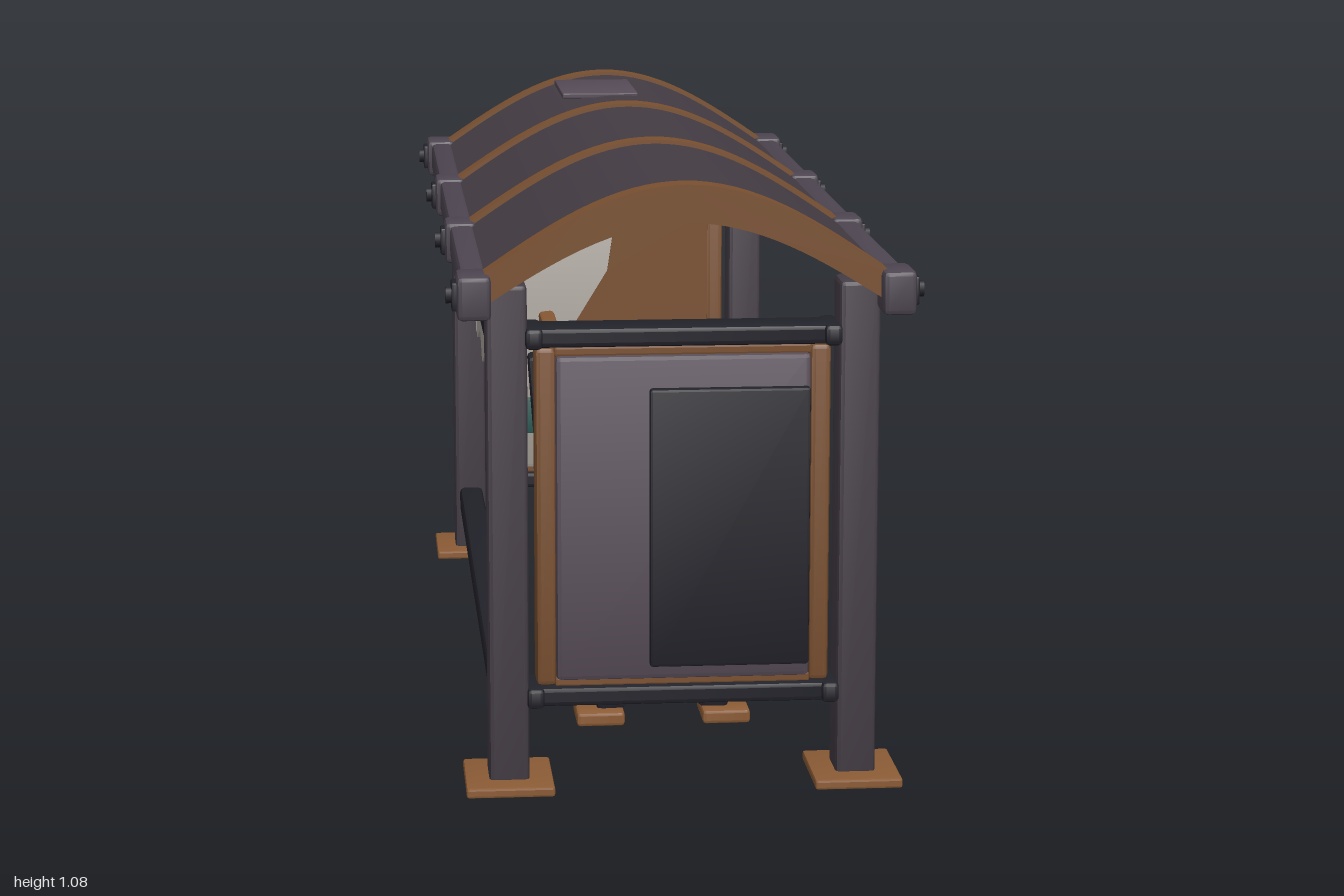
import * as THREE from 'three';
import { RoundedBoxGeometry } from 'three/addons/geometries/RoundedBoxGeometry.js';
import { toCreasedNormals } from 'three/addons/utils/BufferGeometryUtils.js';

const mat = (color, extra = {}) => new THREE.MeshStandardMaterial({ color, ...extra });
const M = {
  post: mat(0x453d46), beam: mat(0x4d4550), slate: mat(0x574c58), roof: mat(0x443c44),
  dark: mat(0x22222a), brown: mat(0x7a5030), wood: mat(0x8c5c36), paper: mat(0xaaa49c),
  yellow: mat(0xb08a2c), teal: mat(0x2a5a54),
  glass: mat(0xb4ada6, { side: THREE.DoubleSide }),
};

export function createModel() {
  const root = new THREE.Group();

  const add = (name, geo, material, x = 0, y = 0, z = 0, parent = root) => {
    const m = new THREE.Mesh(geo, material);
    m.name = name;
    m.position.set(x, y, z);
    parent.add(m);
    return m;
  };
  // Box with a small chamfer
  const box = (name, material, w, h, d, x, y, z, parent = root) => {
    const r = Math.min(0.009, Math.min(w, h, d) * 0.25);
    const geo = toCreasedNormals(new RoundedBoxGeometry(w, h, d, 1, r), 0.4);
    return add(name, geo, material, x, y, z, parent);
  };
  // Box spanning two points in the xy plane
  const strut = (name, material, a, b, w, d, z, parent) => {
    const dx = b[0] - a[0], dy = b[1] - a[1];
    const m = box(name, material, w, Math.hypot(dx, dy), d, (a[0] + b[0]) / 2, (a[1] + b[1]) / 2, z, parent);
    m.rotation.z = -Math.atan2(dx, dy);
    return m;
  };

  // Corner posts on base plates
  for (const sx of [-1, 1]) for (const sz of [-1, 1]) {
    box('cornerPost', M.post, 0.071, 0.89, 0.087, sx * 0.307, 0.455, sz * 0.885);
    box('basePlate', M.wood, 0.155, 0.018, 0.187, sx * 0.307, 0.009, sz * 0.885);
  }

  // Roof beams with bolted brackets
  const boltGeo = new THREE.CylinderGeometry(0.014, 0.014, 0.012, 8).rotateZ(Math.PI / 2);
  for (const sx of [-1, 1]) {
    box('roofBeam', M.beam, 0.046, 0.062, 1.97, sx * 0.362, 0.889, 0);
    for (const z of [-0.95, -0.31, 0.315, 0.95]) {
      const end = Math.abs(z) > 0.9;
      box('beamBracket', M.beam, 0.058, 0.077, end ? 0.1 : 0.09, sx * 0.365, 0.888, z);
      box('boltPlate', M.dark, 0.012, 0.05, 0.05, sx * 0.396, 0.888, z);
      add('bolt', boltGeo, M.dark, sx * 0.406, 0.888, z);
    }
  }

  // Arched band extruded along z
  const arch = (half, base, rise, innerBase, innerRise, depth) => {
    const n = 32, pts = [];
    const pt = (i, b, r) => {
      const t = -1 + (2 * i) / n;
      return new THREE.Vector2(t * half, b + r * Math.cos((t * Math.PI) / 2));
    };
    for (let i = 0; i <= n; i++) pts.push(pt(i, base, rise));
    for (let i = n; i >= 0; i--) pts.push(pt(i, innerBase, innerRise));
    const geo = new THREE.ExtrudeGeometry(new THREE.Shape(pts), { depth, bevelEnabled: false });
    return toCreasedNormals(geo.translate(0, 0, -depth / 2), 0.5);
  };
  add('roofSkin', arch(0.347, 0.916, 0.153, 0.896, 0.149, 1.88), M.roof);
  const ribGeo = arch(0.354, 0.921, 0.155, 0.866, 0.144, 0.054);
  for (const z of [-0.94, -0.31, 0.312, 0.943]) add('roofRib', ribGeo, M.brown, 0, 0, z);
  box('roofPatch', M.slate, 0.16, 0.012, 0.277, -0.04, 1.068, -0.637);

  // End walls: two rails, brown frame, board
  const endWall = (name, sz, boardMaterial) => {
    const g = new THREE.Group();
    g.name = name;
    g.position.z = sz * 0.885;
    root.add(g);
    for (const y of [0.806, 0.166]) {
      box('endRail', M.dark, 0.55, 0.035, 0.085, 0, y, 0, g);
      for (const sx of [-1, 1]) box('railCollar', M.dark, 0.03, 0.037, 0.108, sx * 0.26, y, 0, g);
    }
    for (const sx of [-1, 1]) box('frameSide', M.brown, 0.036, 0.604, 0.064, sx * 0.24, 0.486, 0, g);
    for (const y of [0.78, 0.19]) box('frameEdge', M.brown, 0.45, 0.018, 0.06, 0, y, 0, g);
    box('board', boardMaterial, 0.446, 0.58, 0.074, 0, 0.483, 0, g);
    return g;
  };
  const front = endWall('frontWall', 1, M.slate);
  box('darkPanel', M.dark, 0.28, 0.496, 0.02, 0.08, 0.468, 0.046, front);

  // Rear wall with torn brown sheet and notices on both faces
  const rear = endWall('rearWall', -1, M.paper);
  const sheet = new THREE.Shape([
    [0.223, 0.772], [0.02, 0.772], [0, 0.64], [-0.08, 0.51], [0.04, 0.4], [0.223, 0.48],
  ].map(p => new THREE.Vector2(...p)));
  add('tornSheet', new THREE.ExtrudeGeometry(sheet, { depth: 0.082, bevelEnabled: false }), M.brown, 0, 0, -0.041, rear);
  const notice = (name, material, w, h, x, y, z) => box(name, material, w, h, 0.012, x, y, z, rear);
  notice('tiltedNotice', M.yellow, 0.28, 0.13, 0.083, 0.648, -0.052).rotation.z = 0.27;
  notice('darkNotice', M.dark, 0.145, 0.165, 0.165, 0.278, -0.043);
  notice('smallNotice', M.yellow, 0.05, 0.085, 0.08, 0.32, -0.038);
  notice('greenNotice', M.teal, 0.18, 0.085, -0.08, 0.335, -0.041);
  notice('innerGreenNotice', M.teal, 0.176, 0.08, -0.13, 0.315, 0.042);
  notice('innerYellowNotice', M.yellow, 0.176, 0.08, 0.08, 0.318, 0.042);

  // Back wall rails and broken panes
  box('upperBackRail', M.dark, 0.05, 0.052, 1.7, -0.307, 0.767, 0);
  box('lowerBackRail', M.dark, 0.05, 0.052, 1.7, -0.307, 0.126, 0);
  const panes = [
    [[0.84, 0.6], [0.757, 0.66], [0.505, 0.59], [0.457, 0.65], [0.325, 0.59]],
    [[0.286, 0.6], [0.2, 0.655], [-0.03, 0.59], [-0.12, 0.64], [-0.28, 0.595]],
    [[-0.32, 0.6], [-0.43, 0.655], [-0.645, 0.575], [-0.746, 0.655], [-0.84, 0.6]],
  ];
  for (const edge of panes) {
    const pts = [[edge[0][0], 0.75], ...edge, [edge[4][0], 0.75]];
    const shape = new THREE.Shape(pts.map(([z, y]) => new THREE.Vector2(-z, y)));
    const geo = new THREE.ExtrudeGeometry(shape, { depth: 0.01, bevelEnabled: false });
    add('brokenPane', geo.rotateY(Math.PI / 2), M.glass, -0.312, 0, 0);
  }

  // Bench: seat and back slats on two angled frames
  const bench = new THREE.Group();
  bench.name = 'bench';
  root.add(bench);
  for (let i = 0; i < 4; i++) box('seatSlat', M.wood, 0.066, 0.042, 1.295, -0.085 + i * 0.077, 0.236, 0.002, bench);
  for (let i = 0; i < 3; i++) {
    const s = box('backSlat', M.wood, 0.034, 0.077, 1.295, -0.125 - i * 0.01, 0.348 + i * 0.1, 0.002, bench);
    s.rotation.z = 0.1;
  }
  for (const z of [0.495, -0.492]) {
    strut('backUpright', M.dark, [-0.15, 0.18], [-0.175, 0.52], 0.045, 0.066, z, bench);
    box('seatBearer', M.dark, 0.33, 0.04, 0.066, 0, 0.197, z, bench);
    for (const sx of [-1, 1]) {
      strut('leg', M.dark, [sx * 0.15, 0.21], [sx * 0.092, 0.02], 0.055, 0.056, z, bench);
      box('foot', M.wood, 0.09, 0.027, 0.117, sx * 0.118, 0.0135, z, bench);
    }
  }
  box('leaningBoard', M.dark, 0.02, 0.275, 0.298, -0.09, 0.432, -0.373, bench);

  // Loose slat on the ground
  box('fallenSlat', M.wood, 0.085, 0.028, 0.345, 0.205, 0.031, -0.392).rotation.y = 0.13;

  return root;
}
